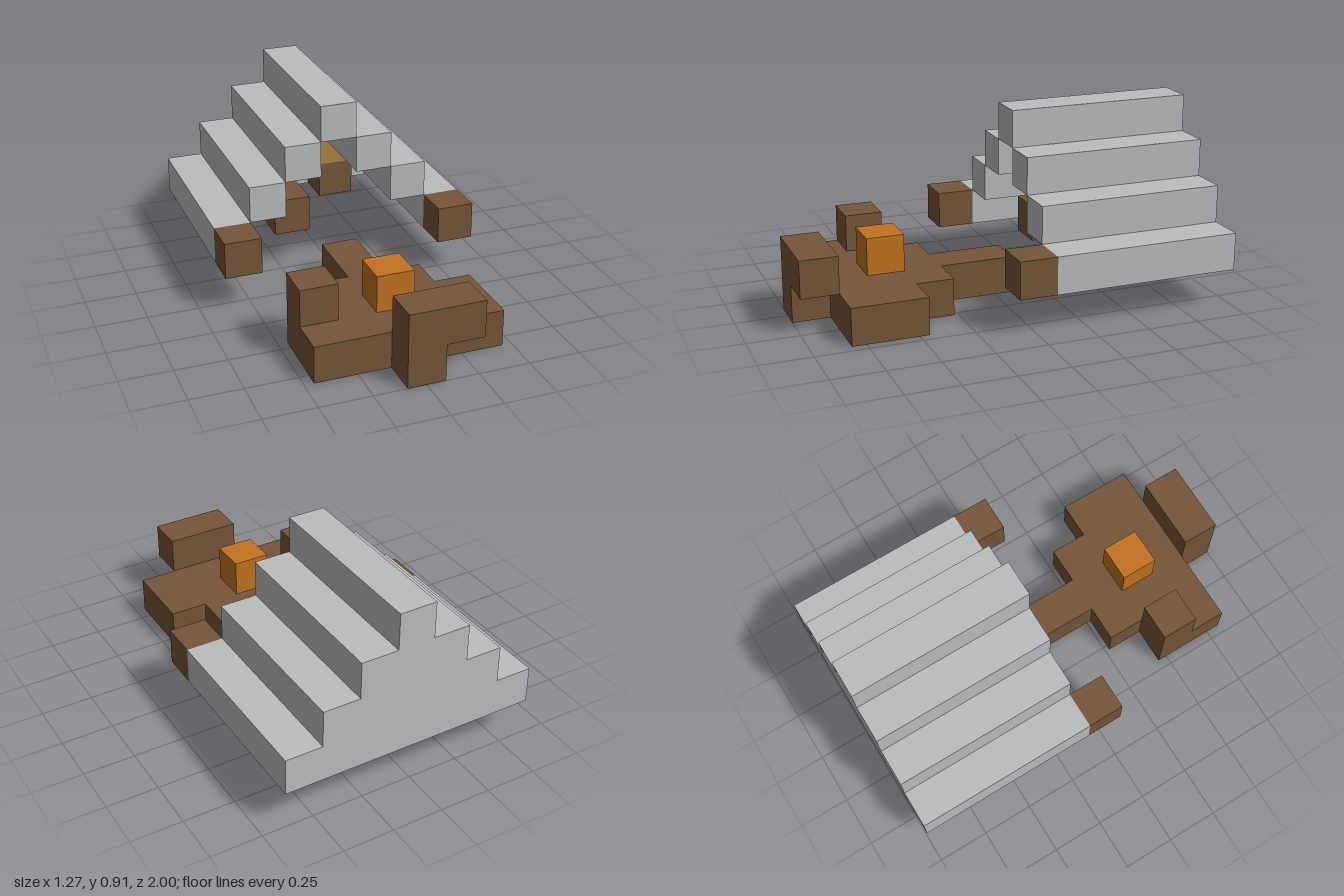
import * as THREE from 'three';

const U = 2 / 11; // one block

function material(name, color) {
  const m = new THREE.MeshStandardMaterial({ color });
  m.name = name;
  return m;
}

export function createModel() {
  const model = new THREE.Group();
  const brown = material('brown wood', 0x755639);
  const grey = material('pale grey', 0xbabebe);
  const orange = material('orange', 0xc27220);
  const gold = material('gold', 0xb08643);

  const add = (parent, name, geometry, mat) => {
    const mesh = new THREE.Mesh(geometry, mat);
    mesh.name = name;
    parent.add(mesh);
    return mesh;
  };

  // Box of w x 1 x d blocks; x and z are block centres, level counts up from the ground
  const block = (parent, name, mat, x, level, z, w = 1, d = 1) => {
    const mesh = add(parent, name, new THREE.BoxGeometry(w * U, U, d * U), mat);
    mesh.position.set(x * U, (level + 0.5) * U, z * U);
    return mesh;
  };

  // One-block-thick plate cut from an outline given in blocks
  const plate = (points) => new THREE.ExtrudeGeometry(
    new THREE.Shape(points.map(([x, y]) => new THREE.Vector2(x * U, y * U))),
    { depth: U, bevelEnabled: false });

  // Cross-shaped deck with a narrow tail and nose
  const right = [[0.5, -0.5], [0.5, 1.5], [1.5, 1.5], [1.5, 2.5], [2.5, 2.5], [2.5, 4.5], [0.5, 4.5], [0.5, 5.5]];
  const left = right.map(([x, z]) => [-x, z]).reverse();
  const deck = add(model, 'deck', plate([...right, ...left]), brown);
  deck.rotation.x = Math.PI / 2;
  deck.position.y = U;

  // Blocks standing on the deck
  block(model, 'frontBeam', brown, 0.5, 1, 5, 2);
  block(model, 'sidePost', brown, -2, 1, 3);
  block(model, 'fire', orange, 0, 1, 3);

  // Stepped roof, open at the front
  const roof = new THREE.Group();
  roof.name = 'roof';
  model.add(roof);
  block(roof, 'ridge', grey, 0, 4, -2.5, 1, 4);
  for (const side of [-1, 1]) {
    for (let i = 1; i <= 3; i++) block(roof, 'roofStep', grey, side * i, 4 - i, -2.5, 1, 4);
    block(roof, 'eaveEnd', brown, side * 3, 1, 0);
  }

  // Stepped back wall
  const wall = [];
  for (let i = 3; i >= 0; i--) wall.push([i + 0.5, 4 - i], [i + 0.5, 5 - i]);
  const gable = add(roof, 'backWall', plate([...wall, ...wall.map(([x, y]) => [-x, y]).reverse()]), grey);
  gable.position.z = -5.5 * U;

  // Furniture under the roof
  block(model, 'bench', brown, -1, 1, -3, 1, 3);
  block(model, 'table', brown, 1, 1, -4);
  block(model, 'lantern', gold, 1, 2, -4);

  return model;
}
